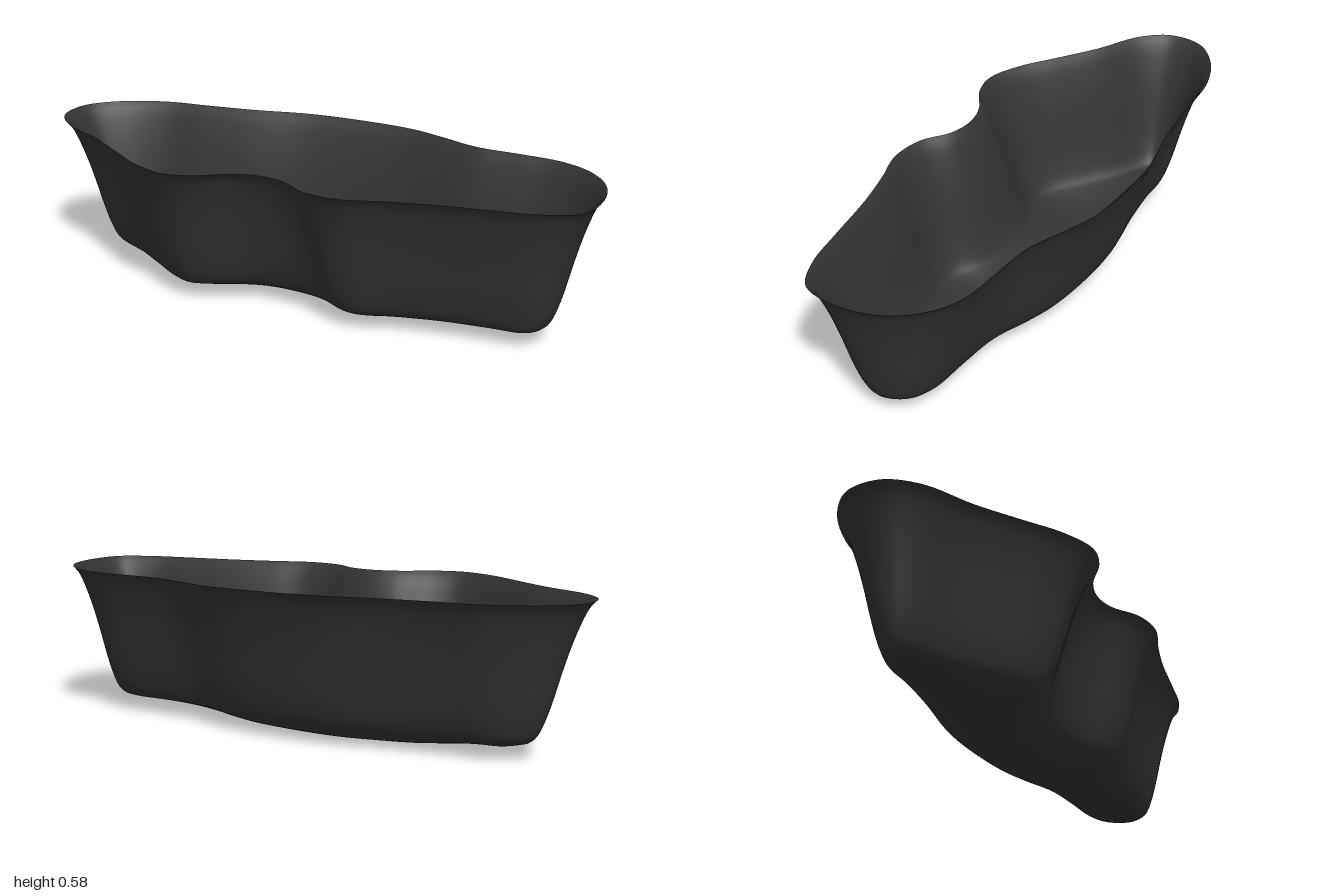
import * as THREE from 'three';

// Each row: rim x, rim z, floor-edge x, floor-edge z, running round the basin
const OUTLINE = [
  [-0.50, -1.00, -0.45, -0.78], [-0.36, -0.96, -0.42, -0.77], [-0.22, -0.86, -0.35, -0.72],
  [-0.11, -0.73, -0.27, -0.61], [0.02, -0.58, -0.14, -0.46], [0.18, -0.42, 0.02, -0.29],
  [0.31, -0.24, 0.13, -0.13], [0.42, -0.04, 0.22, 0.04], [0.46, 0.10, 0.26, 0.16],
  [0.50, 0.26, 0.30, 0.31], [0.58, 0.40, 0.39, 0.48], [0.66, 0.55, 0.46, 0.60],
  [0.68, 0.68, 0.48, 0.68], [0.64, 0.82, 0.47, 0.73], [0.53, 0.94, 0.43, 0.78],
  [0.39, 1.00, 0.37, 0.79], [0.27, 0.94, 0.33, 0.77], [0.15, 0.82, 0.27, 0.69],
  [0.00, 0.66, 0.14, 0.53], [-0.12, 0.55, 0.02, 0.41], [-0.24, 0.45, -0.07, 0.34],
  [-0.30, 0.33, -0.10, 0.28], [-0.305, 0.20, -0.11, 0.16], [-0.345, 0.11, -0.16, 0.03],
  [-0.42, 0.04, -0.25, -0.10], [-0.55, -0.02, -0.41, -0.20], [-0.63, -0.10, -0.455, -0.24],
  [-0.665, -0.24, -0.475, -0.31], [-0.665, -0.42, -0.475, -0.45], [-0.665, -0.60, -0.475, -0.60],
  [-0.685, -0.80, -0.49, -0.74], [-0.65, -0.92, -0.485, -0.77], [-0.58, -0.98, -0.47, -0.78],
];
// Centre line of the floor
const SPINE = [[-0.40, -0.70], [-0.30, -0.42], [-0.06, -0.14], [0.08, 0.15], [0.20, 0.44], [0.38, 0.70]];
// Wall section: inward fraction, height
const WALL = [[0, 0.58], [0.15, 0.54], [0.34, 0.44], [0.50, 0.33], [0.64, 0.22], [0.76, 0.14], [0.88, 0.085], [1, 0.062]];

const COLUMNS = 198, WALL_RINGS = 20, FLOOR_RINGS = 12;
const flatCurve = (points, closed) =>
  new THREE.CatmullRomCurve3(points.map(([x, z]) => new THREE.Vector3(x, 0, z)), closed);

// Height of the floor's centre line, rising towards both ends
const spineHeight = (z) => 0.045 *
  (THREE.MathUtils.smoothstep(z, 0.12, 0.68) + THREE.MathUtils.smoothstep(-z, 0.32, 0.72));

function basinGeometry() {
  const rim = flatCurve(OUTLINE.map((r) => [r[0], r[1]]), true);
  const edge = flatCurve(OUTLINE.map((r) => [r[2], r[3]]), true);
  const spine = flatCurve(SPINE, false).getPoints(80);
  const section = new THREE.SplineCurve(WALL.map(([t, y]) => new THREE.Vector2(t, y)));
  const rings = WALL_RINGS + FLOOR_RINGS + 1;
  const positions = [], index = [];

  for (let c = 0; c < COLUMNS; c++) {
    const a = rim.getPoint(c / COLUMNS), b = edge.getPoint(c / COLUMNS);
    const mid = spine.reduce((m, p) => (p.distanceToSquared(b) < m.distanceToSquared(b) ? p : m));
    const low = spineHeight(mid.z);
    for (let r = 0; r < rings; r++) {
      let p;
      if (r <= WALL_RINGS) {
        // Flared wall
        const s = section.getPoint(r / WALL_RINGS);
        p = a.clone().lerp(b, s.x).setY(s.y);
      } else {
        // Dished floor
        const s = (r - WALL_RINGS) / FLOOR_RINGS;
        p = b.clone().lerp(mid, s).setY(low + (0.062 - low) * (1 - s) ** 1.7);
      }
      positions.push(p.x, p.y, p.z);
    }
  }
  for (let c = 0; c < COLUMNS; c++) {
    for (let r = 0; r < rings - 1; r++) {
      const i = c * rings + r, j = ((c + 1) % COLUMNS) * rings + r;
      index.push(i, j, i + 1, j, j + 1, i + 1);
    }
  }
  const geometry = new THREE.BufferGeometry();
  geometry.setAttribute('position', new THREE.Float32BufferAttribute(positions, 3));
  geometry.setIndex(index);
  geometry.computeVertexNormals();
  return geometry;
}

export function createModel() {
  const model = new THREE.Group();
  model.name = 'pondBasin';
  const shell = new THREE.Mesh(
    basinGeometry(),
    new THREE.MeshStandardMaterial({ color: 0x333333, side: THREE.DoubleSide })
  );
  shell.name = 'basinShell';
  model.add(shell);
  return model;
}
